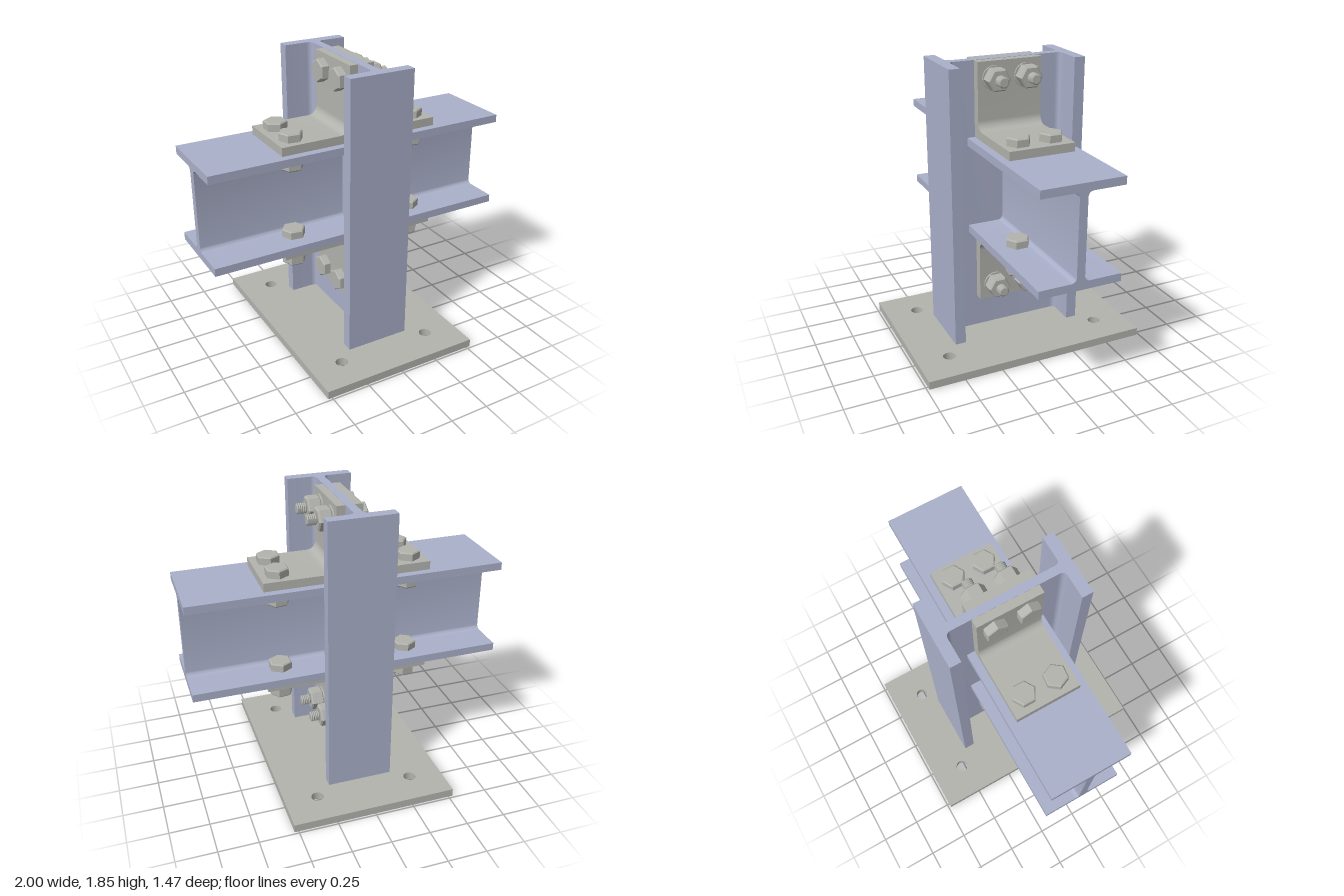
import * as THREE from 'three';
import { toCreasedNormals } from 'three/addons/utils/BufferGeometryUtils.js';

const blueSteel = new THREE.MeshStandardMaterial({ color: 0xaab0ca });
blueSteel.name = 'blueSteel';
const greySteel = new THREE.MeshStandardMaterial({ color: 0xb3b3ae });
greySteel.name = 'greySteel';

function mesh(name, geometry, material) {
  const m = new THREE.Mesh(toCreasedNormals(geometry, 0.5), material);
  m.name = name;
  return m;
}

const extrude = (shape, depth) =>
  new THREE.ExtrudeGeometry(shape, { depth, bevelEnabled: false, curveSegments: 8 });

// Rolled I section: half width w, half height h, flange t, half web s, root fillet r
function iSection(w, h, t, s, r) {
  const k = h - t;
  const p = new THREE.Shape();
  p.moveTo(-w, -h);
  p.lineTo(w, -h);
  p.lineTo(w, -k);
  p.lineTo(s + r, -k);
  p.quadraticCurveTo(s, -k, s, -k + r);
  p.lineTo(s, k - r);
  p.quadraticCurveTo(s, k, s + r, k);
  p.lineTo(w, k);
  p.lineTo(w, h);
  p.lineTo(-w, h);
  p.lineTo(-w, k);
  p.lineTo(-s - r, k);
  p.quadraticCurveTo(-s, k, -s, k - r);
  p.lineTo(-s, -k + r);
  p.quadraticCurveTo(-s, -k, -s - r, -k);
  p.lineTo(-w, -k);
  p.closePath();
  return p;
}

// Angle section with its heel at the origin and a filleted inside corner
function angleSection(w, h, t, r) {
  const p = new THREE.Shape();
  p.moveTo(0, 0);
  p.lineTo(w, 0);
  p.lineTo(w, t);
  p.lineTo(t + r, t);
  p.absarc(t + r, t + r, r, -Math.PI / 2, -Math.PI, true);
  p.lineTo(t, h);
  p.lineTo(0, h);
  p.closePath();
  return p;
}

const lathe = (points, sides) =>
  new THREE.LatheGeometry(points.map(([x, y]) => new THREE.Vector2(x, y)), sides);

// Bolt along y: head above y = 0, nut below y = -grip, shank sticking out by tail
function bolt(name, grip, tail, headSpin, nutSpin, washer) {
  const g = new THREE.Group();
  g.name = name;
  const head = mesh('boltHead', lathe([[0, 0], [0.075, 0], [0.075, 0.044], [0.067, 0.051], [0, 0.051]], 6), greySteel);
  head.rotation.y = headSpin;

  const nut = mesh('nut', lathe([[0, -0.083], [0.065, -0.083], [0.075, -0.074], [0.075, -0.006], [0.068, 0], [0, 0]], 6), greySteel);
  nut.position.y = -grip;
  nut.rotation.y = nutSpin;

  // Shank with thread ridges on its exposed end
  const end = -grip - 0.083 - tail;
  const profile = [[0, end], [0.026, end]];
  const ridges = Math.max(1, Math.round(tail / 0.011));
  for (let i = 0; i < ridges; i++) {
    const y = end + (tail * i) / ridges;
    profile.push([0.034, y + (tail * 0.5) / ridges], [0.029, y + tail / ridges]);
  }
  profile.push([0.032, 0]);
  g.add(head, nut, mesh('shank', lathe(profile, 20), greySteel));

  if (washer) {
    const ring = mesh('washer', new THREE.CylinderGeometry(0.076, 0.076, 0.01, 28), greySteel);
    ring.position.y = -grip + 0.003;
    g.add(ring);
  }
  return g;
}

export function createModel() {
  const model = new THREE.Group();
  model.name = 'beamColumnConnection';

  // Base plate with four anchor holes
  const plate = new THREE.Shape();
  plate.moveTo(-0.527, -0.735);
  plate.lineTo(0.527, -0.735);
  plate.lineTo(0.527, 0.735);
  plate.lineTo(-0.527, 0.735);
  plate.closePath();
  for (const x of [-0.315, 0.315]) {
    for (const z of [-0.525, 0.525]) {
      plate.holes.push(new THREE.Path().absarc(x, z, 0.04, 0, Math.PI * 2, true));
    }
  }
  const base = mesh('basePlate', extrude(plate, 0.052), greySteel);
  base.rotation.x = -Math.PI / 2;
  model.add(base);

  // Column
  const column = mesh('column', extrude(iSection(0.21, 0.44, 0.07, 0.027, 0.035), 1.793), blueSteel);
  column.rotation.x = -Math.PI / 2;
  column.position.y = 0.052;
  model.add(column);

  for (const side of [-1, 1]) {
    const label = side > 0 ? 'left' : 'right';

    // Beam running out from the column web
    const beam = mesh(label + 'Beam', extrude(iSection(0.26, 0.315, 0.05, 0.026, 0.035), 0.973), blueSteel);
    beam.rotation.y = (side * Math.PI) / 2;
    beam.position.set(side * 0.027, 1.055, 0);
    model.add(beam);

    // Angle cleats above and below the beam
    for (const up of [1, -1]) {
      const geometry = extrude(angleSection(0.5, 0.473, 0.054, 0.06), 0.42);
      geometry.translate(0, 0, -0.21);
      const cleat = mesh(label + (up > 0 ? 'TopCleat' : 'BottomCleat'), geometry, greySteel);
      if (up < 0) cleat.rotation.x = Math.PI;
      const holder = new THREE.Group();
      holder.name = cleat.name + 'Holder';
      holder.add(cleat);
      holder.rotation.y = side > 0 ? 0 : Math.PI;
      holder.position.set(side * 0.027, up > 0 ? 1.37 : 0.74, 0);
      model.add(holder);
    }

    // Bolts through the beam flanges
    for (const z of [-0.105, 0.105]) {
      const headSpin = side < 0 && z > 0 ? 0.4 : 0;
      for (const y of [1.424, 0.79]) {
        const b = bolt('flangeBolt', 0.104, 0.003, headSpin, z > 0 ? 0.4 : 0.65, false);
        b.position.set(side * 0.42, y, z);
        model.add(b);
      }
    }
  }

  // Bolts through the cleats and column web
  for (const y of [1.74, 0.37]) {
    for (const z of [-0.105, 0.105]) {
      const b = bolt('webBolt', 0.17, 0.06, Math.PI / 6, 0, true);
      b.rotation.z = Math.PI / 2;
      b.position.set(-0.081, y, z);
      model.add(b);
    }
  }
  return model;
}
